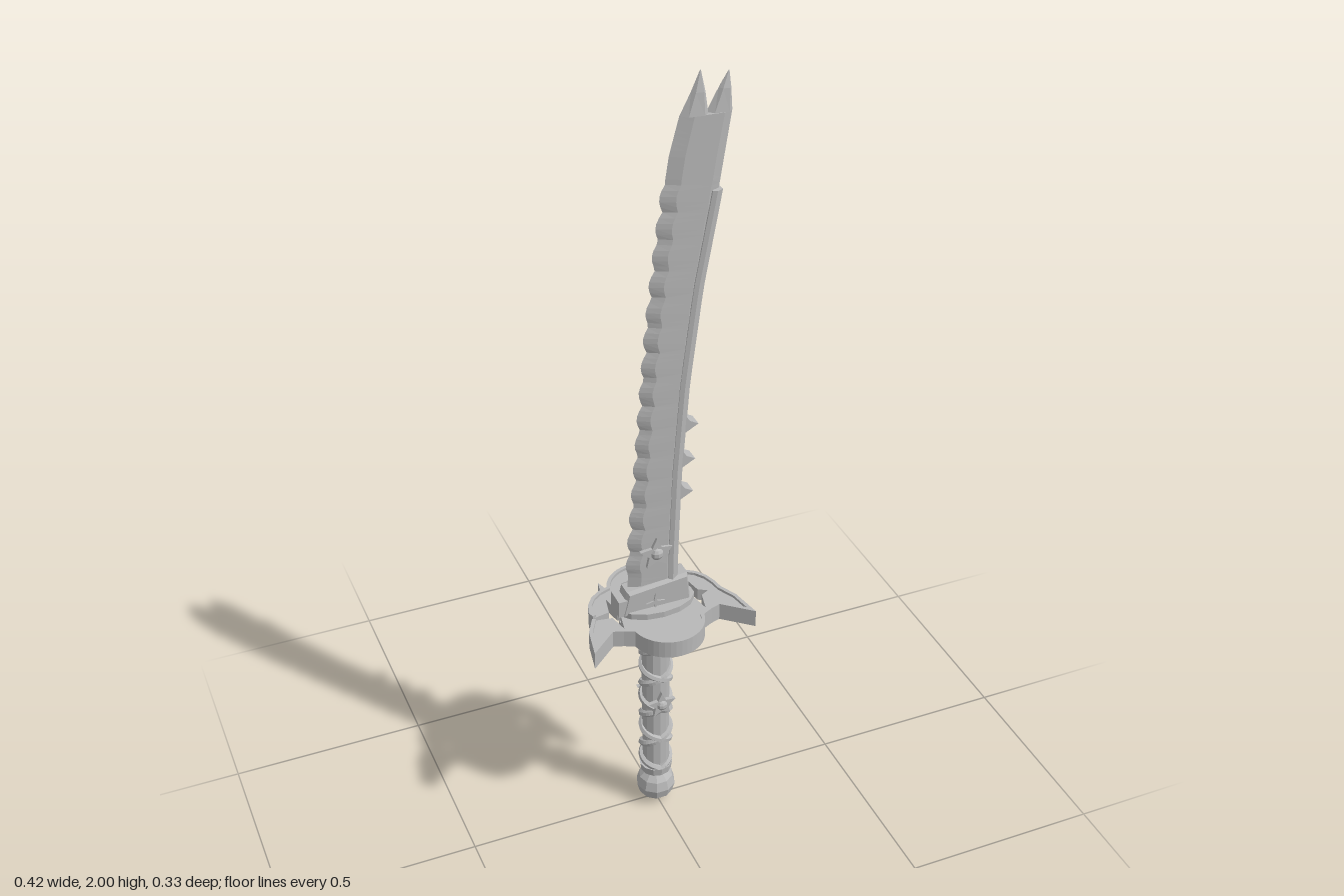
import * as THREE from 'three';

const steel = new THREE.MeshStandardMaterial({ color: 0xb8b8b8, flatShading: true, side: THREE.DoubleSide });
steel.name = 'steel grey';

function add(parent, name, geometry, x = 0, y = 0, z = 0) {
  const mesh = new THREE.Mesh(geometry, steel);
  mesh.name = name;
  mesh.position.set(x, y, z);
  parent.add(mesh);
  return mesh;
}

// Skin a stack of closed cross-sections, each a list of [x, y, z]
function loft(rows) {
  const n = rows[0].length, index = [];
  for (let r = 0; r < rows.length - 1; r++) {
    for (let i = 0; i < n; i++) {
      const a = r * n + i, b = r * n + (i + 1) % n;
      index.push(a, a + n, b, b, a + n, b + n);
    }
  }
  const top = (rows.length - 1) * n;
  for (let i = 1; i < n - 1; i++) index.push(0, i, i + 1, top, top + i + 1, top + i);
  const g = new THREE.BufferGeometry();
  g.setAttribute('position', new THREE.Float32BufferAttribute(rows.flat(2), 3));
  g.setIndex(index);
  g.computeVertexNormals();
  return g;
}

// Edge position at a height, from [y, x] pairs
function edge(table, y) {
  let i = 0;
  while (i < table.length - 2 && y > table[i + 1][0]) i++;
  const [[y0, x0], [y1, x1]] = [table[i], table[i + 1]];
  return x0 + (x1 - x0) * (y - y0) / (y1 - y0);
}
const cutting = [[0.65, -0.078], [0.865, -0.064], [1.0, -0.053], [1.21, -0.037], [1.42, -0.02], [1.6, 0], [1.74, 0.018], [1.82, 0.03], [1.905, 0.053]];
const back = [[0.65, 0.047], [0.8, 0.049], [1.02, 0.057], [1.26, 0.075], [1.5, 0.105], [1.72, 0.145], [1.905, 0.174]];

// Bevelled blade section, thin at the cutting edge
const section = (l, r, y, t = 0.018) => {
  const w = r - l;
  return [[l, y, 0], [l + w * 0.25, y, t * 0.8], [r - w * 0.18, y, t], [r, y, t * 0.45],
    [r, y, -t * 0.45], [r - w * 0.18, y, -t], [l + w * 0.25, y, -t * 0.8]];
};

function starShape(points, outer, inner) {
  const s = new THREE.Shape();
  for (let i = 0; i < points * 2; i++) {
    const a = Math.PI / 2 + i * Math.PI / points, r = i % 2 ? inner : outer;
    s[i ? 'lineTo' : 'moveTo'](Math.cos(a) * r, Math.sin(a) * r);
  }
  return s;
}

// Flat outline drawn in x and z, raised from y0 to y1
function slab(shape, y0, y1) {
  return new THREE.ExtrudeGeometry(shape, { depth: y1 - y0, bevelEnabled: false }).rotateX(Math.PI / 2).translate(0, y1, 0);
}

function buildBlade(sword) {
  const blade = new THREE.Group();
  blade.name = 'blade';
  const rows = [], steps = 100;
  for (let i = 0; i <= steps; i++) {
    const y = 0.65 + 1.255 * i / steps;
    const tooth = y > 0.74 && y < 1.76 ? 0.012 * Math.abs(Math.sin((y - 0.74) * Math.PI / 0.068)) - 0.004 : 0;
    rows.push(section(edge(cutting, y) - tooth, edge(back, y) - 0.003, y));
  }
  add(blade, 'bladeBody', loft(rows));

  // Forked tip
  const prong = (l, r, tx, ty) => loft([section(l, r, 1.905),
    section(l + (tx - l) * 0.55, r + (tx - r) * 0.4, 1.955, 0.012), section(tx - 0.001, tx + 0.001, ty, 0.001)]);
  add(blade, 'mainProng', prong(0.053, 0.116, 0.1, 2));
  add(blade, 'backProng', prong(0.114, 0.171, 0.165, 1.99));

  // Thick strip along the back, with three barbs
  const spine = [];
  for (let i = 0; i <= 24; i++) {
    const y = 0.68 + 1.05 * i / 24, x = edge(back, y);
    spine.push([[x - 0.022, y, 0.02], [x - 0.012, y, 0.024], [x + 0.003, y, 0.017],
      [x + 0.003, y, -0.017], [x - 0.012, y, -0.024], [x - 0.022, y, -0.02]]);
  }
  add(blade, 'spine', loft(spine));
  for (const y of [0.955, 1.045, 1.14]) {
    const x = edge(back, y);
    const barb = new THREE.Shape([[x - 0.01, y - 0.018], [x + 0.034, y + 0.006], [x + 0.012, y + 0.018], [x - 0.005, y + 0.045]]
      .map(p => new THREE.Vector2(...p)));
    add(blade, 'barb', new THREE.ExtrudeGeometry(barb, { depth: 0.036, bevelEnabled: false }), 0, 0, -0.018);
  }
  sword.add(blade);
}

function buildCollar(sword) {
  const shape = new THREE.Shape([[-0.092, 0.645], [0.078, 0.645], [0.07, 0.718], [-0.078, 0.702]].map(p => new THREE.Vector2(...p)));
  add(sword, 'bladeCollar', new THREE.ExtrudeGeometry(shape,
    { depth: 0.036, bevelThickness: 0.01, bevelSize: 0.006, bevelSegments: 1 }), 0, 0, -0.018);
  add(sword, 'collarStep', new THREE.BoxGeometry(0.025, 0.045, 0.052), -0.094, 0.665, 0);
}

function buildGuard(sword) {
  const guard = new THREE.Group();
  guard.name = 'guard';
  // Outline runs from the slit on one side, round the back, to the slit again
  const pts = [[-0.163, -0.004], [-0.168, -0.02], [-0.158, -0.05], [-0.14, -0.075], [-0.115, -0.092]];
  const arc = (cz, r, from, to) => {
    for (let i = 0; i <= 18; i++) {
      const a = from + (to - from) * i / 18;
      pts.push([Math.cos(a) * r, cz + Math.sin(a) * r]);
    }
  };
  arc(-0.07, 0.095, -Math.PI + 0.32, -0.32);
  pts.push([0.115, -0.092], [0.14, -0.075], [0.158, -0.05], [0.168, -0.02], [0.172, 0.005],
    [0.194, 0.05], [0.21, 0.13], [0.14, 0.07], [0.115, 0.078]);
  arc(0.073, 0.092, 0.186, Math.PI - 0.186);
  pts.push([-0.115, 0.078], [-0.14, 0.07], [-0.21, 0.13], [-0.194, 0.05], [-0.168, 0.004]);
  const outline = pts.map(p => new THREE.Vector2(...p));

  // Raised rim, inset from the outline with limited mitres
  const inner = outline.map((p, i) => {
    const a = outline[Math.max(i - 1, 0)], b = outline[Math.min(i + 1, outline.length - 1)];
    const d0 = (i ? p.clone().sub(a) : b.clone().sub(p)).normalize();
    const d1 = (i < outline.length - 1 ? b.clone().sub(p) : d0.clone()).normalize();
    const n = new THREE.Vector2(-d0.y - d1.y, d0.x + d1.x).normalize();
    const cos = Math.max(0.3, n.x * -d0.y + n.y * d0.x);
    return p.clone().addScaledVector(n, 0.009 / cos);
  });
  add(guard, 'guardRim', slab(new THREE.Shape([...outline, ...inner.reverse()]), 0.597, 0.643));

  // Plate with a star opening on each side, one joined to the slit
  const openStar = [[-0.118, 0.012], [-0.107, 0.062], [-0.097, 0.012], [-0.075, 0], [-0.097, -0.012], [-0.107, -0.062], [-0.118, -0.012]];
  const plate = new THREE.Shape([...outline, ...openStar.map(p => new THREE.Vector2(...p))]);
  plate.holes.push(new THREE.Path([...openStar, [-0.14, 0]].map(([x, z]) => new THREE.Vector2(-x, z))));
  add(guard, 'guardPlate', slab(plate, 0.604, 0.636));

  for (const s of [-1, 1]) {
    const spike = new THREE.Shape([[s * 0.088, -0.095], [s * 0.1, -0.134], [s * 0.108, -0.093]].map(p => new THREE.Vector2(...p)));
    add(guard, 'guardSpike', slab(spike, 0.605, 0.635));
  }
  // Oval washers above and below
  for (const [y, r] of [[0.642, 0.1], [0.594, 0.095]]) {
    add(guard, 'washer', new THREE.CylinderGeometry(r, r, 0.02, 14).scale(1, 1, 0.57), 0, y, 0);
  }
  sword.add(guard);
}

function buildHandle(sword) {
  const handle = new THREE.Group();
  handle.name = 'handle';
  add(handle, 'handleCore', new THREE.CylinderGeometry(0.037, 0.035, 0.49, 12).scale(1, 1, 0.88), 0, 0.345, 0);
  // Two crossing spiral wraps
  for (const s of [-1, 1]) {
    const path = [];
    for (let i = 0; i <= 72; i++) {
      const a = Math.PI / 2 + s * i * Math.PI / 8;
      path.push(new THREE.Vector3(Math.cos(a) * 0.036, 0.12 + 0.45 * i / 72, Math.sin(a) * 0.032));
    }
    add(handle, 'spiralWrap', new THREE.TubeGeometry(new THREE.CatmullRomCurve3(path), 144, 0.009, 6));
  }
  add(handle, 'upperFerrule', new THREE.CylinderGeometry(0.046, 0.043, 0.025, 12), 0, 0.578, 0);
  add(handle, 'lowerFerrule', new THREE.CylinderGeometry(0.043, 0.04, 0.022, 12), 0, 0.112, 0);
  add(handle, 'pommel', new THREE.SphereGeometry(0.051, 10, 6), 0, 0.051, 0);
  sword.add(handle);
}

// Small star ornaments on both faces
function buildOrnaments(sword) {
  for (const s of [-1, 1]) {
    const place = (name, x, y, z, shape, depth, bead) => {
      const g = new THREE.Group();
      g.name = name;
      add(g, 'star', new THREE.ExtrudeGeometry(shape, { depth, bevelEnabled: false }), 0, 0, -depth / 2);
      if (bead) add(g, 'bead', new THREE.SphereGeometry(bead, 8, 5).scale(1, 1, 0.7), 0, 0, depth / 2);
      g.position.set(x, y, s * z);
      if (s < 0) g.rotation.y = Math.PI;
      sword.add(g);
    };
    place('bladeOrnament', -0.006, 0.805, 0.019, starShape(5, 0.044, 0.021).clone(), 0.01, 0.016);
    place('handleOrnament', 0, 0.342, 0.038, starShape(5, 0.038, 0.018), 0.01, 0.014);
    place('collarStar', -0.013, 0.667, 0.028, starShape(4, 0.024, 0.006), 0.008, 0);
  }
}

export function createModel() {
  const sword = new THREE.Group();
  sword.name = 'sword';
  buildBlade(sword);
  buildCollar(sword);
  buildGuard(sword);
  buildHandle(sword);
  buildOrnaments(sword);
  return sword;
}
